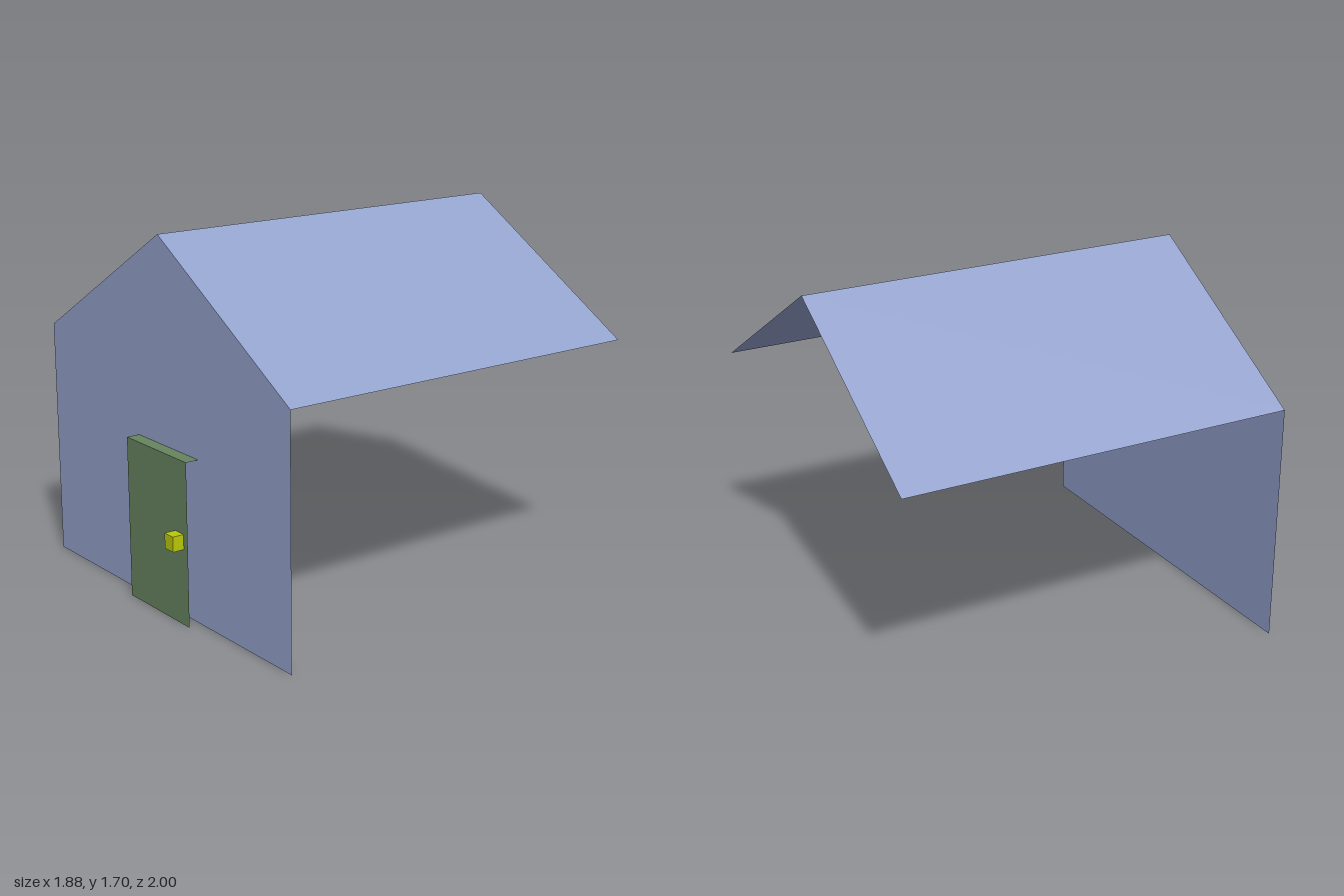
import * as THREE from 'three';

const HALF = 0.94, EAVE = 1.133, APEX = 1.697; // gable outline
const FRONT = 0.88, BACK = -1;                 // depth of the shell

function material(color) {
  return new THREE.MeshStandardMaterial({ color, flatShading: true, side: THREE.DoubleSide });
}

function addMesh(parent, name, geometry, mat, x = 0, y = 0, z = 0) {
  const mesh = new THREE.Mesh(geometry, mat);
  mesh.name = name;
  mesh.position.set(x, y, z);
  parent.add(mesh);
  return mesh;
}

export function createModel() {
  const house = new THREE.Group();
  house.name = 'house';
  const blue = material(0x93a2cc);
  const green = material(0x66845f);
  const yellow = material(0xbbc80a);

  // Front wall: a flat gable
  const gable = new THREE.Shape([
    [-HALF, 0], [HALF, 0], [HALF, EAVE], [0, APEX], [-HALF, EAVE],
  ].map(([x, y]) => new THREE.Vector2(x, y)));
  addMesh(house, 'frontWall', new THREE.ShapeGeometry(gable), blue, 0, 0, FRONT);

  // Roof: two thin slopes meeting at the ridge
  const rise = APEX - EAVE;
  for (const side of [1, -1]) {
    const slope = new THREE.PlaneGeometry(Math.hypot(HALF, rise), FRONT - BACK);
    slope.rotateX(-Math.PI / 2).rotateZ(-side * Math.atan2(rise, HALF));
    addMesh(house, side > 0 ? 'leftRoof' : 'rightRoof', slope, blue,
      side * HALF / 2, (EAVE + APEX) / 2, (FRONT + BACK) / 2);
  }

  // Door: a front panel and a top ledge that passes through the wall
  const door = new THREE.Group();
  door.name = 'door';
  house.add(door);
  const width = 0.476, height = 0.759, doorX = 0.042, doorZ = 0.943, ledge = 0.19;
  addMesh(door, 'doorPanel', new THREE.PlaneGeometry(width, height), green, doorX, height / 2, doorZ);
  addMesh(door, 'doorLedge', new THREE.PlaneGeometry(width, ledge).rotateX(-Math.PI / 2), green,
    doorX, height, doorZ - ledge / 2);

  // Square knob
  addMesh(door, 'doorKnob', new THREE.BoxGeometry(0.065, 0.07, 0.055), yellow, 0.219, 0.392, 0.9725);

  return house;
}
